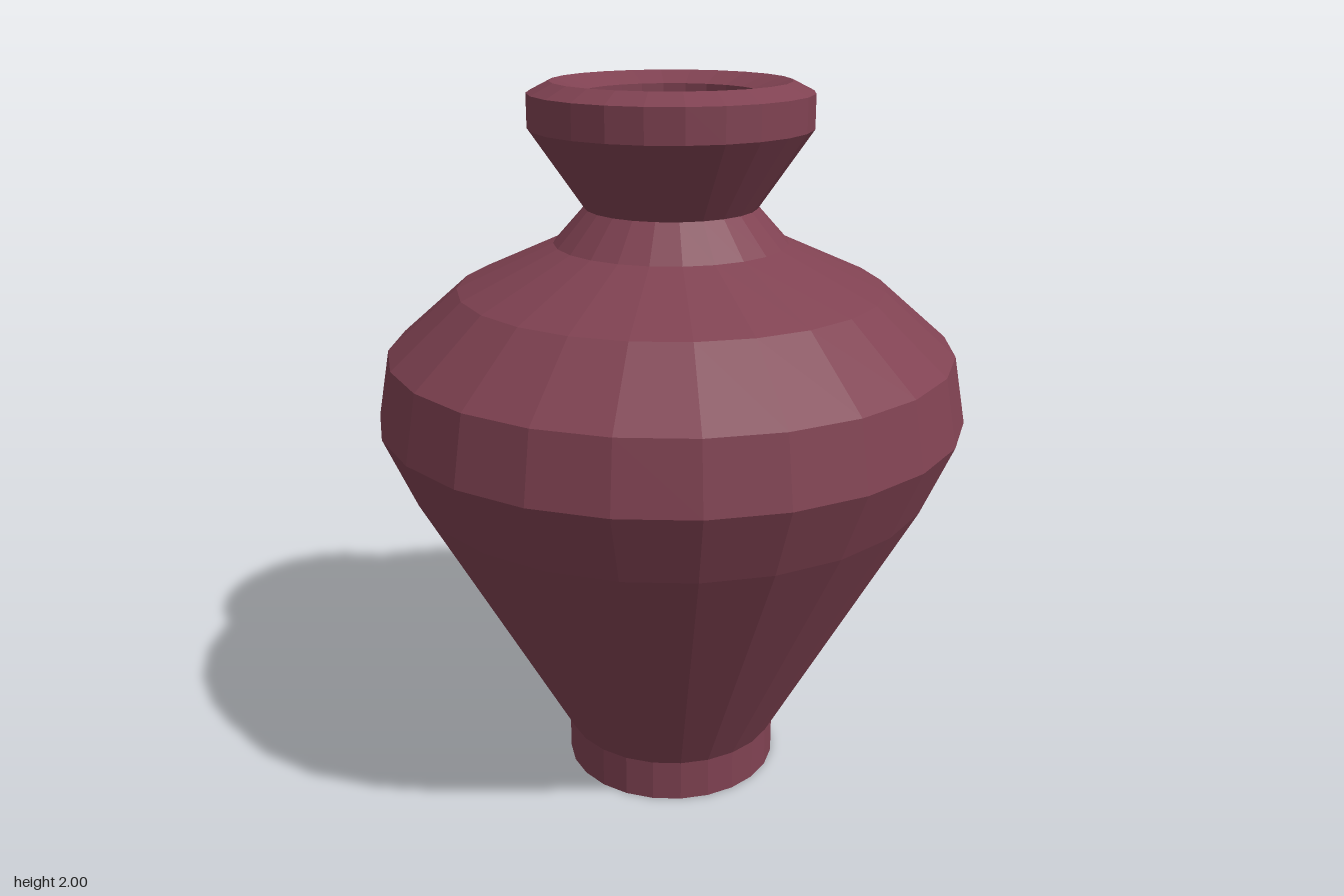
import * as THREE from 'three';

const SIDES = 24;

// Turn a list of [radius, height] pairs into a faceted surface of revolution
function turned(name, profile, material) {
  const points = profile.map(([r, y]) => new THREE.Vector2(r, y));
  const geometry = new THREE.LatheGeometry(points, SIDES).toNonIndexed();
  geometry.computeVertexNormals();
  const mesh = new THREE.Mesh(geometry, material);
  mesh.name = name;
  return mesh;
}

export function createModel() {
  const clay = new THREE.MeshStandardMaterial({ color: 0x804252, flatShading: true });
  clay.name = 'plum clay';

  const vase = new THREE.Group();
  vase.name = 'vase';
  vase.add(
    // Closed straight foot
    turned('foot', [[0, 0], [0.31, 0], [0.31, 0.12]], clay),
    // Flaring belly up to the widest ring and the band above it
    turned('belly', [[0.31, 0.12], [0.73, 0.9], [0.815, 1.1], [0.78, 1.285]], clay),
    // Shoulder drawing in to the narrow neck
    turned('shoulder', [[0.78, 1.285], [0.585, 1.455], [0.32, 1.575], [0.235, 1.67]], clay),
    // Neck flaring out to a bevelled lip
    turned('neck', [[0.235, 1.67], [0.38, 1.88]], clay),
    turned('lip', [[0.38, 1.88], [0.38, 1.97], [0.32, 2], [0.235, 1.97]], clay),
    // Well inside the mouth
    turned('mouth', [[0.235, 1.97], [0.235, 1.68], [0, 1.68]], clay),
  );
  return vase;
}
